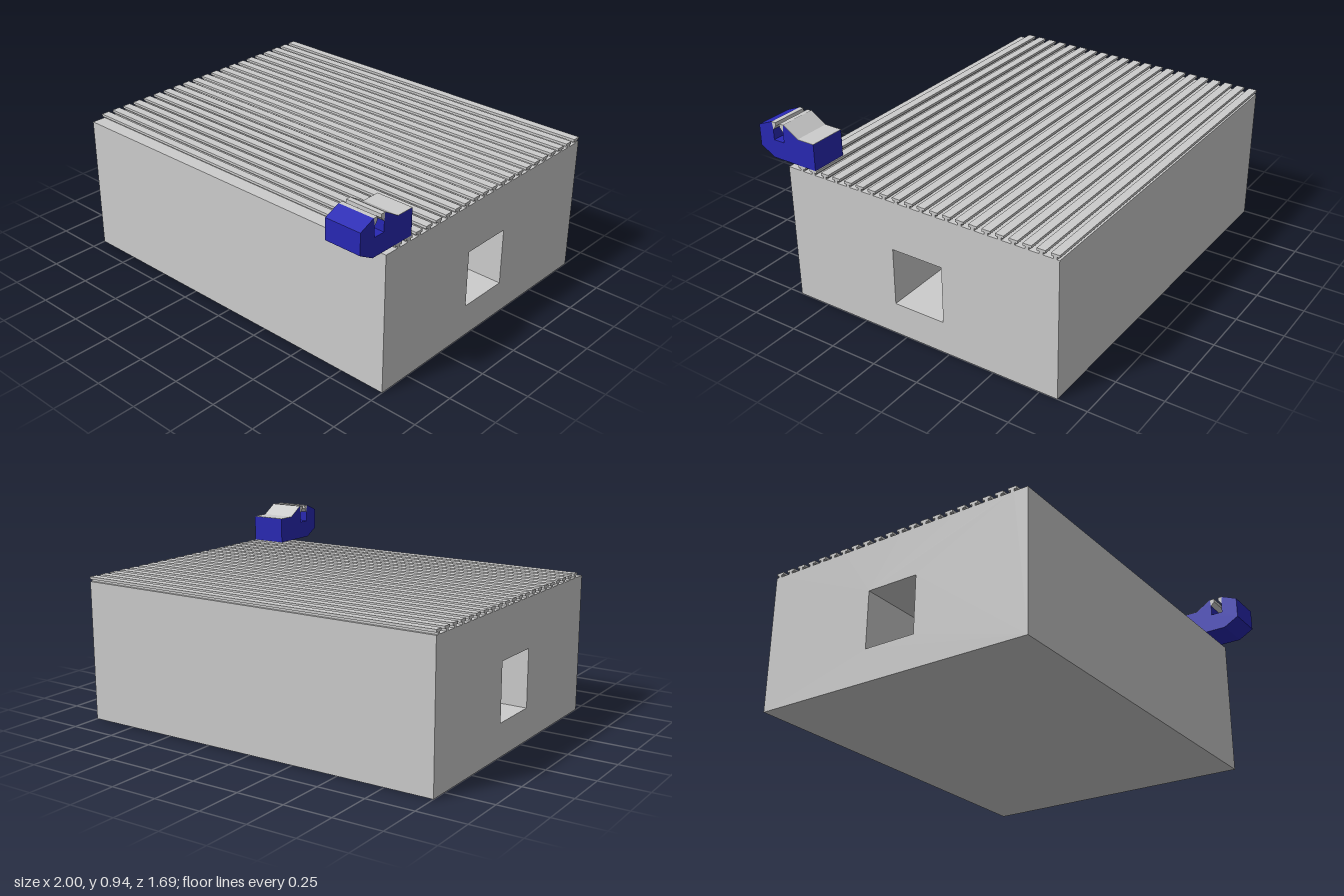
import * as THREE from 'three';

// Extrudes a [z, y] side profile along x from x0 to x1
function sideExtrude(name, points, x0, x1, material, hole) {
  const toShape = ([z, y]) => new THREE.Vector2(-z, y);
  const shape = new THREE.Shape(points.map(toShape));
  if (hole) shape.holes.push(new THREE.Path(hole.map(toShape)));
  const geometry = new THREE.ExtrudeGeometry(shape, { depth: x1 - x0, bevelEnabled: false });
  geometry.rotateY(Math.PI / 2).translate(x0, 0, 0);
  const mesh = new THREE.Mesh(geometry, material);
  mesh.name = name;
  return mesh;
}

export function createModel() {
  const model = new THREE.Group();
  model.name = 'slottedTableWithClamp';
  const grey = new THREE.MeshStandardMaterial({ color: 0xcccccc });
  const blue = new THREE.MeshStandardMaterial({ color: 0x2828b4 });

  const front = 0.675, back = -0.845;
  const floorY = 0.725, capY = 0.737, topY = 0.75;

  // Table block: T-shaped rails on top, square tunnel from side to side
  const pitch = 0.0707, capHalf = 0.022, stemHalf = 0.009;
  const profile = [[front, 0], [back, 0], [back, floorY]];
  for (let z = back + capHalf; z + capHalf < front; z += pitch) {
    profile.push(
      [z - stemHalf, floorY], [z - stemHalf, capY], [z - capHalf, capY], [z - capHalf, topY],
      [z + capHalf, topY], [z + capHalf, capY], [z + stemHalf, capY], [z + stemHalf, floorY]
    );
  }
  profile.push([front, floorY]);
  const tunnel = [[0.06, 0.17], [0.06, 0.47], [-0.22, 0.47], [-0.22, 0.17]];
  model.add(sideExtrude('table', profile, -1, 1, grey, tunnel));

  // Clamp at the front left corner
  const clamp = new THREE.Group();
  clamp.name = 'clamp';
  const x0 = 0.805, x1 = 1;
  clamp.add(sideExtrude('clampBody', [
    [0.505, 0.75], [0.505, 0.887], [0.602, 0.887], [0.688, 0.94], [0.69, 0.917],
    [0.693, 0.9], [0.693, 0.846], [0.755, 0.846], [0.755, 0.9],
    [0.757, 0.917], [0.762, 0.94], [0.845, 0.905], [0.845, 0.795], [0.765, 0.75]
  ], x0, x1, blue));

  // Lips that narrow the mouth of the clamp slot
  clamp.add(sideExtrude('frontLip', [
    [0.762, 0.94], [0.738, 0.94], [0.738, 0.922], [0.755, 0.9], [0.757, 0.917]
  ], x0, x1, grey));
  clamp.add(sideExtrude('rearLip', [
    [0.688, 0.94], [0.713, 0.94], [0.713, 0.922], [0.693, 0.9], [0.69, 0.917]
  ], x0, x1, grey));

  // Thin grey cover over the rear slope
  clamp.add(sideExtrude('rearCover', [
    [0.505, 0.887], [0.602, 0.887], [0.688, 0.94],
    [0.688, 0.942], [0.602, 0.889], [0.505, 0.889]
  ], x0, x1, grey));
  model.add(clamp);

  return model;
}
